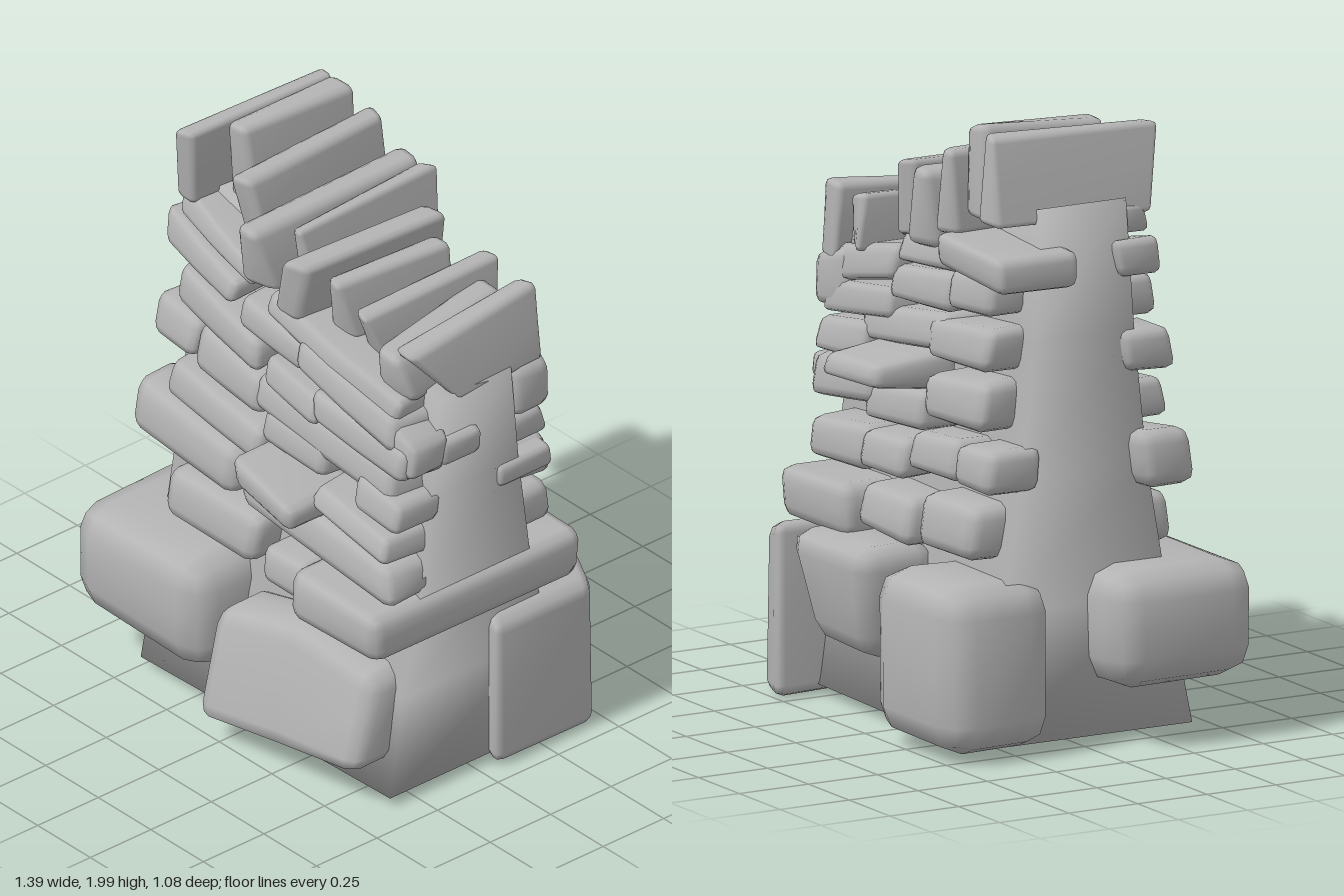
import * as THREE from 'three';
import { mergeVertices } from 'three/addons/utils/BufferGeometryUtils.js';

const stoneGrey = new THREE.MeshStandardMaterial({ color: 0xb4b4b4 });
stoneGrey.name = 'stone grey';

const lerp = THREE.MathUtils.lerp;
let seed = 7;
const rand = () => (seed = (seed * 16807) % 2147483647) / 2147483647;

// Weld the vertices and give smooth normals
function smooth(geometry) {
  geometry.deleteAttribute('normal');
  geometry.deleteAttribute('uv');
  const welded = mergeVertices(geometry, 1e-5);
  welded.clearGroups();
  welded.computeVertexNormals();
  return welded;
}

// Worn block: a bevelled box with uneven corners, put in place by a rule (u, v, t in 0..1)
function stone(name, w, h, d, place, wear = 0.16) {
  const geo = new THREE.BoxGeometry(2, 2, 2, 4, 4, 4);
  const half = [w / 2, h / 2, d / 2];
  const r = Math.min(w, h, d) * 0.25;
  const corners = Array.from({ length: 8 }, () => [0, 1, 2].map(() => (rand() - 0.25) * wear));
  const p = geo.attributes.position;
  for (let i = 0; i < p.count; i++) {
    const grid = [p.getX(i), p.getY(i), p.getZ(i)];
    // Inner box point plus a rounded offset
    const inner = grid.map((g, a) => Math.sign(g) * (half[a] - r));
    const offset = grid.map((g) => (Math.abs(g) > 0.9 ? Math.sign(g) : 0));
    const length = Math.hypot(...offset);
    const c = inner.map((n, a) => 0.5 + (n + (offset[a] * r) / length) / (2 * half[a]));
    const shrink = [0, 0, 0];
    corners.forEach((corner, k) => {
      const weight = c.reduce((m, a, axis) => m * ((k >> axis) & 1 ? a : 1 - a), 1);
      corner.forEach((s, axis) => { shrink[axis] += s * weight; });
    });
    p.setXYZ(i, ...place(...c.map((a, axis) => 0.5 + (a - 0.5) * (1 - shrink[axis]))));
  }
  const mesh = new THREE.Mesh(smooth(geo), stoneGrey);
  mesh.name = name;
  return mesh;
}

// Wall stone: left end (x, bottom, top), right end (x, bottom, top), and depth range.
// lean and yaw shift z with height and length; hump raises the top middle;
// pinch narrows the underside; tip thins the outer side; bow draws it in near the wall ends.
function wallStone(name, [x0, b0, t0, x1, b1, t1], zMin, zMax,
  { lean = 0, yaw = 0, hump = 0, pinch = 0, tip = 0, bow = 0, wear } = {}) {
  const side = Math.sign(zMin + zMax);
  return stone(name, x1 - x0, (t0 + t1 - b0 - b1) / 2, zMax - zMin, (u, v, t) => {
    const out = side > 0 ? t : 1 - t;
    const x = lerp(x0, x1, 0.5 + (u - 0.5) * (1 - pinch * (1 - v)));
    const vv = 0.5 + (v - 0.5) * (1 - tip * out);
    return [
      x,
      lerp(lerp(b0, b1, u), lerp(t0, t1, u), vv) + hump * 4 * u * (1 - u) * v,
      lerp(zMin, zMax, t) + lean * (v - 0.5) + yaw * (u - 0.5) - side * bow * out * (x - 0.07) ** 2,
    ];
  }, wear);
}

// Upright coping stone: bottom x, top x, bottom y, top y, thickness, back z, front z,
// sideways shift from back to front, cut under the front end
function copingStone([xb, xt, yb, yt, w, z0, z1, turn, cut = 0.04]) {
  return stone('copingStone', w, yt - yb, z1 - z0, (u, v, t) => [
    lerp(xb, xt, v) + (u - 0.5) * w * (1.1 - 0.3 * v) + turn * (t - 0.5),
    lerp(yb, yt, v) - cut * 0.25 * v * t,
    lerp(z0, z1 - cut * (1 - v), t),
  ], 0.18);
}

// Tapered core with a sloping top
function core() {
  const geo = new THREE.BoxGeometry(1, 1, 1, 1, 4, 1);
  const p = geo.attributes.position;
  const halfDepth = [0.39, 0.3, 0.225, 0.18, 0.15];
  for (let i = 0; i < p.count; i++) {
    const v = p.getY(i) + 0.5, right = p.getX(i) > 0;
    const depth = halfDepth[Math.round(v * 4)] - (right && v === 0 ? 0.04 : 0);
    p.setXYZ(i, right ? 0.64 : -0.5, lerp(0.04, right ? 1.42 : 1.75, v), Math.sign(p.getZ(i)) * depth);
  }
  const mesh = new THREE.Mesh(smooth(geo), stoneGrey);
  mesh.name = 'core';
  return mesh;
}

const frontStones = [
  [-0.42, 0.6, 0.78, 0.02, 0.6, 0.77], [0.06, 0.59, 0.72, 0.27, 0.6, 0.73],
  [-0.6, 0.82, 1.02, -0.08, 0.79, 0.95], [-0.09, 0.81, 0.97, 0.65, 0.73, 0.86],
  [-0.45, 1.02, 1.15, 0.02, 0.98, 1.1], [0.28, 0.96, 1.04, 0.64, 0.88, 0.97],
  [0.01, 1.07, 1.19, 0.32, 1.04, 1.16], [0.45, 1.03, 1.14, 0.65, 0.99, 1.09],
  [-0.54, 1.19, 1.33, -0.32, 1.18, 1.32], [-0.33, 1.16, 1.33, 0, 1.13, 1.26],
  [-0.05, 1.17, 1.29, 0.61, 1.06, 1.19], [-0.44, 1.35, 1.49, -0.02, 1.27, 1.39],
  [0.02, 1.27, 1.37, 0.26, 1.22, 1.31], [0.24, 1.24, 1.35, 0.66, 1.17, 1.28],
  [-0.13, 1.41, 1.53, 0.2, 1.37, 1.47], [0.17, 1.4, 1.5, 0.6, 1.26, 1.37],
  [-0.54, 1.5, 1.63, -0.15, 1.46, 1.54], [-0.49, 1.63, 1.73, -0.09, 1.55, 1.61],
  [0, 1.52, 1.6, 0.59, 1.32, 1.43], [0.55, 1.19, 1.37, 0.67, 1.18, 1.3],
];
const backStones = [
  [-0.44, 0.62, 0.8, -0.1, 0.62, 0.8], [-0.08, 0.6, 0.76, 0.24, 0.62, 0.76],
  [-0.52, 0.84, 1.0, -0.3, 0.85, 0.99], [-0.31, 0.85, 0.99, -0.01, 0.84, 0.97],
  [0, 0.8, 0.93, 0.28, 0.79, 0.92], [0.25, 0.78, 0.93, 0.6, 0.76, 0.9],
  [-0.43, 1.03, 1.2, -0.08, 1.02, 1.17], [-0.09, 0.97, 1.1, 0.28, 0.95, 1.07],
  [0.2, 1.0, 1.15, 0.62, 0.95, 1.09], [-0.44, 1.22, 1.37, -0.07, 1.21, 1.34],
  [-0.18, 1.24, 1.37, 0.35, 1.18, 1.3], [0.28, 1.12, 1.25, 0.62, 1.1, 1.2],
  [0.13, 1.29, 1.39, 0.6, 1.22, 1.32], [-0.42, 1.39, 1.53, -0.18, 1.39, 1.52],
  [-0.2, 1.37, 1.5, 0.16, 1.35, 1.46], [-0.2, 1.5, 1.62, 0.15, 1.47, 1.57],
  [0.12, 1.41, 1.53, 0.6, 1.31, 1.43],
];
const copingStones = [
  [-0.435, -0.4, 1.69, 1.98, 0.08, -0.31, 0.31, -0.03], [-0.3, -0.31, 1.67, 2.0, 0.11, -0.29, 0.18, -0.03],
  [-0.17, -0.19, 1.62, 1.91, 0.1, -0.34, 0.28, 0.03], [-0.05, -0.06, 1.56, 1.82, 0.13, -0.34, 0.35, 0],
  [0.08, 0.05, 1.56, 1.82, 0.07, -0.34, 0.25, 0.02], [0.11, 0.18, 1.53, 1.78, 0.11, -0.25, 0.35, -0.04],
  [0.27, 0.26, 1.49, 1.73, 0.1, -0.18, 0.26, -0.04], [0.37, 0.35, 1.46, 1.65, 0.08, -0.33, 0.24, 0],
  [0.48, 0.46, 1.41, 1.59, 0.15, -0.29, 0.27, 0.1], [0.59, 0.56, 1.38, 1.65, 0.1, -0.3, 0.25, 0.02, 0.19],
];
// Single stones: name, ends, back z, front z, shaping
const singles = [
  ['frontFootStone', [-0.7, 0.21, 0.59, -0.08, 0.18, 0.59], 0.01, 0.53, { wear: 0.08 }],
  ['frontFootStone', [-0.06, 0.09, 0.46, 0.61, 0.15, 0.45], 0.28, 0.48, { lean: -0.1, yaw: -0.08, hump: 0.08, wear: 0.06 }],
  ['backFootStone', [-0.58, 0.03, 0.58, -0.07, 0.03, 0.58], -0.54, -0.13, { wear: 0.1 }],
  ['backFootStone', [-0.06, 0.22, 0.6, 0.5, 0.22, 0.58], -0.5, -0.2, { lean: -0.06, yaw: 0.04, pinch: 0.3, wear: 0.1 }],
  ['backFootStone', [0.53, 0, 0.58, 0.69, 0, 0.53], -0.49, -0.07, { yaw: 0.07, wear: 0.1 }],
  ['throughStone', [0.25, 0.56, 0.74, 0.67, 0.56, 0.73], -0.43, 0.44, { wear: 0.05 }],
  ['projectingStone', [0.04, 0.95, 1.1, 0.31, 0.89, 1.0], 0.2, 0.49, { tip: 0.3 }],
  ['projectingStone', [-0.08, 1.08, 1.24, 0.27, 1.07, 1.22], -0.51, -0.2, { tip: 0.5 }],
  ['backCornerStone', [-0.58, 1.5, 1.62, -0.18, 1.53, 1.64], -0.36, -0.06, { wear: 0.1 }],
  ['endStone', [0.5, 1.18, 1.29, 0.67, 1.18, 1.28], -0.01, 0.16, {}],
  ['endStone', [0.5, 1.0, 1.09, 0.66, 1.0, 1.08], -0.32, -0.08, {}],
  ['endStone', [0.45, 1.24, 1.46, 0.66, 1.22, 1.4], -0.31, -0.15, {}],
];

export function createModel() {
  seed = 7;
  const wall = new THREE.Group();
  wall.name = 'dryStoneWall';
  wall.add(core());
  // Courses on both faces lean inwards with height
  for (const [name, list, side] of [['frontStone', frontStones, 1], ['backStone', backStones, -1]]) {
    for (const s of list) {
      const y = (s[1] + s[2] + s[4] + s[5]) / 4;
      const outer = 0.445 - 0.085 * y + (rand() - 0.5) * 0.02;
      const inner = 0.24 - 0.09 * y;
      const shape = { lean: -0.02 * side, bow: 0.22 * Math.max(0, y - 0.75) };
      wall.add(wallStone(name, s, side > 0 ? inner : -outer, side > 0 ? outer : -inner, shape));
    }
  }
  for (const [name, ends, z0, z1, shape] of singles) wall.add(wallStone(name, ends, z0, z1, shape));
  for (const c of copingStones) wall.add(copingStone(c));
  return wall;
}
